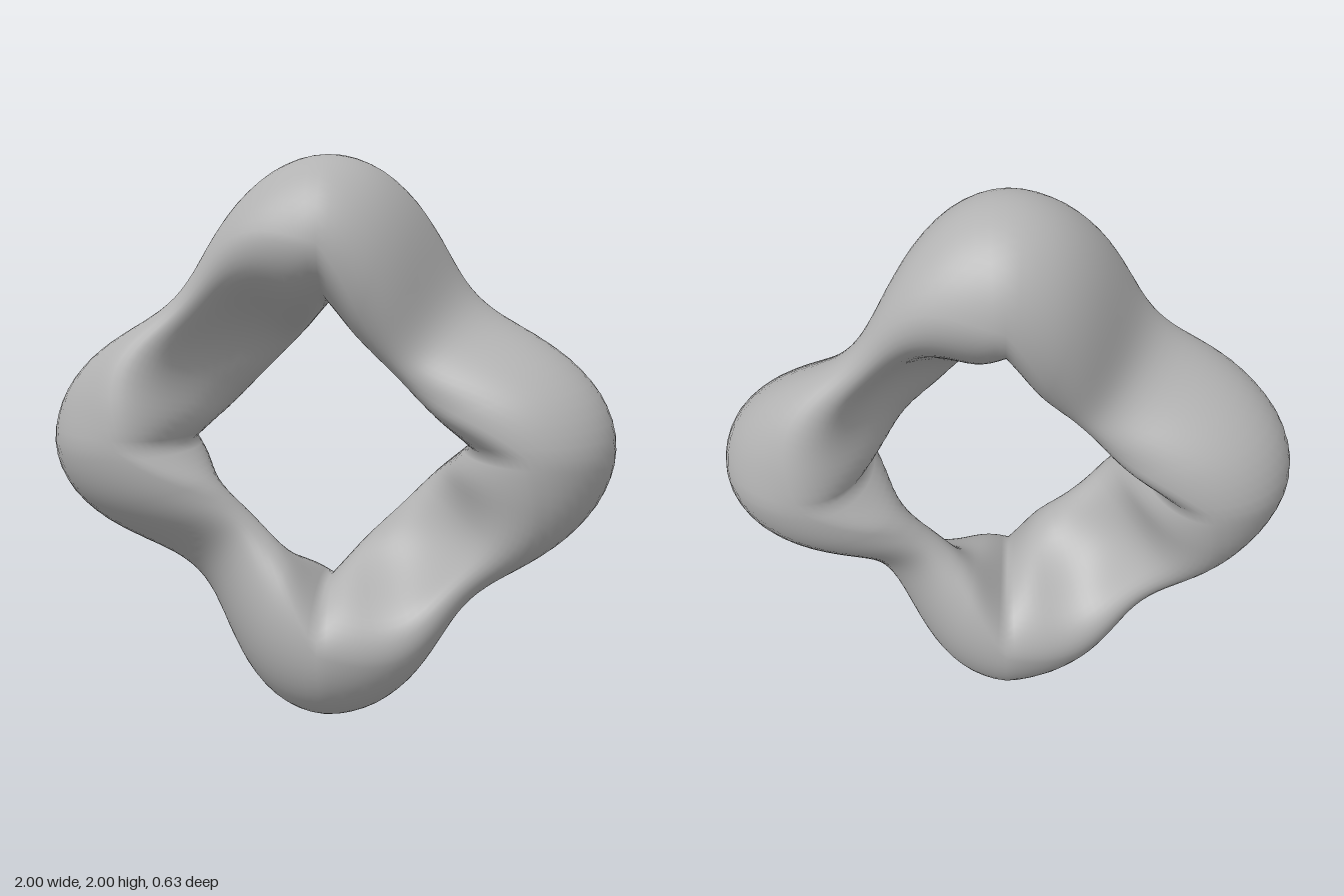
import * as THREE from 'three';

const RINGS = 128, SIDES = 48;

// One cross-section of the ring at angle phi, as [radius, z] pairs.
// It is a wide D at the four lobes and a tilted, grooved band between them.
function section(phi) {
  const s = Math.sin(2 * phi), u = s * s;
  const mix = (lobe, strand) => lobe + (strand - lobe) * u;
  const tilt = s * Math.PI / 4;
  const half = mix(0.31, 0.27), outer = mix(0.3, 0.13), inner = mix(0.19, 0.15);
  const pts = [];
  for (let j = 0; j < SIDES; j++) {
    const a = j / SIDES * Math.PI * 2, sa = Math.sin(a);
    const e = half * Math.cos(a);
    const n = sa > 0 ? outer * sa : inner * sa - 0.11 * u * sa ** 3;
    pts.push([n * Math.cos(tilt) - e * Math.sin(tilt), n * Math.sin(tilt) + e * Math.cos(tilt)]);
  }
  // fit to the four-lobed outline, the square opening and the depth
  const rMax = 0.865 + 0.135 * Math.cos(4 * phi);
  const rMin = 0.5 / (Math.abs(Math.cos(phi)) + Math.abs(Math.sin(phi)));
  const zMax = mix(0.315, 0.21);
  const rs = pts.map(p => p[0]), zs = pts.map(p => p[1]);
  const r0 = Math.min(...rs), r1 = Math.max(...rs);
  const z0 = Math.min(...zs), z1 = Math.max(...zs);
  return pts.map(([r, z]) => [
    rMin + (r - r0) / (r1 - r0) * (rMax - rMin),
    ((z - z0) / (z1 - z0) * 2 - 1) * zMax,
  ]);
}

export function createModel() {
  const group = new THREE.Group();
  group.name = 'twistedRingSculpture';
  const grey = new THREE.MeshStandardMaterial({ color: 0xb2b2b2 });
  grey.name = 'grey';

  // sweep the section round the ring
  const pos = [], index = [];
  for (let i = 0; i < RINGS; i++) {
    const phi = i / RINGS * Math.PI * 2;
    for (const [r, z] of section(phi)) pos.push(r * Math.cos(phi), 1 + r * Math.sin(phi), z);
    const next = (i + 1) % RINGS;
    for (let j = 0; j < SIDES; j++) {
      const k = (j + 1) % SIDES;
      const a = i * SIDES + j, b = i * SIDES + k, c = next * SIDES + j, d = next * SIDES + k;
      index.push(a, b, c, b, d, c);
    }
  }
  const geometry = new THREE.BufferGeometry();
  geometry.setAttribute('position', new THREE.Float32BufferAttribute(pos, 3));
  geometry.setIndex(index);
  geometry.computeVertexNormals();

  const ring = new THREE.Mesh(geometry, grey);
  ring.name = 'twistedRing';
  group.add(ring);
  return group;
}
